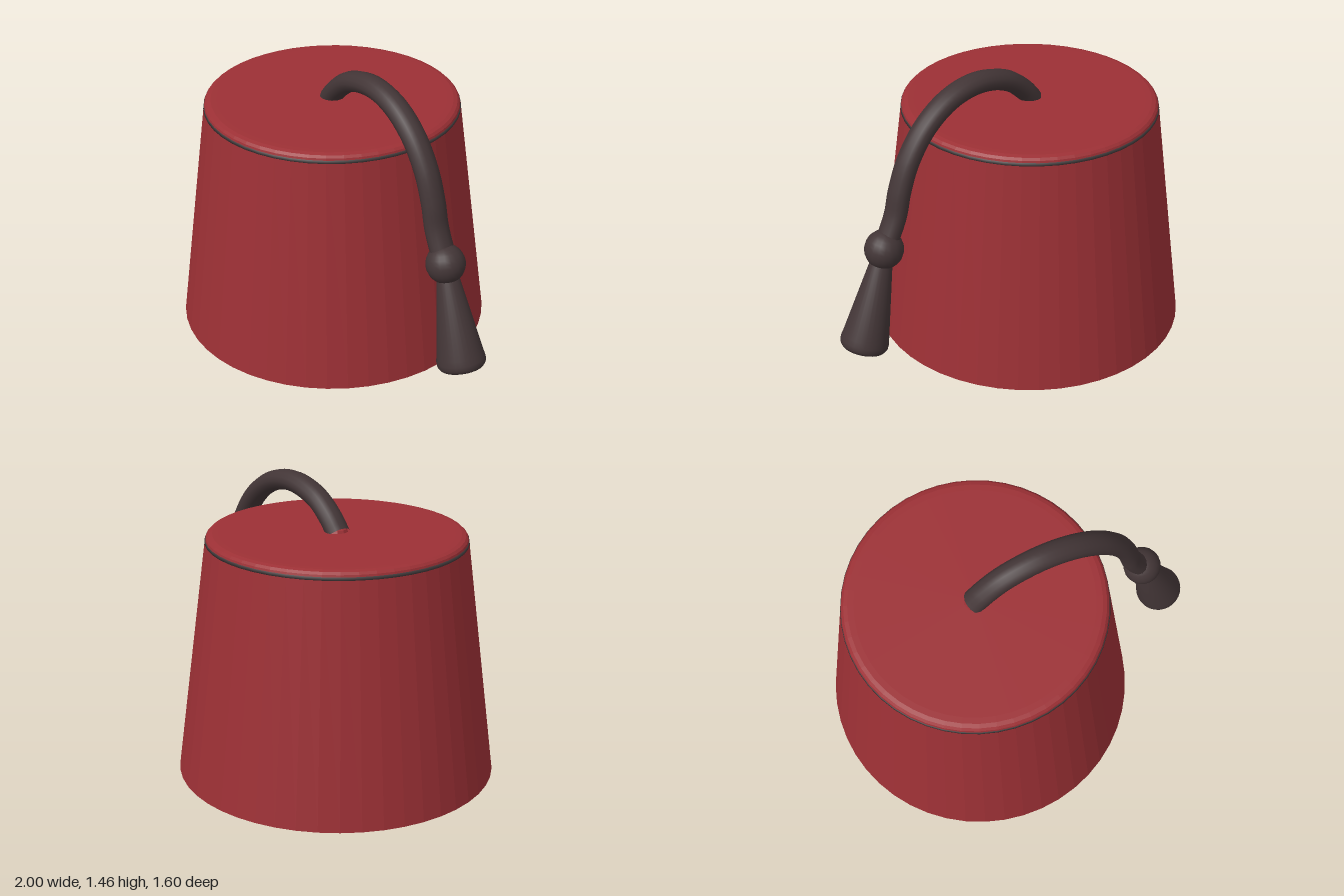
import * as THREE from 'three';

const red = new THREE.MeshStandardMaterial({ color: 0x9c3035, flatShading: true, side: THREE.DoubleSide });
const dark = new THREE.MeshStandardMaterial({ color: 0x423536 });
const bandMat = new THREE.MeshStandardMaterial({ color: 0x423b3c });

const lathe = (points, segments) =>
  new THREE.LatheGeometry(points.map(([r, y]) => new THREE.Vector2(r, y)), segments);

function add(parent, name, geometry, material, x = 0, y = 0) {
  const mesh = new THREE.Mesh(geometry, material);
  mesh.name = name;
  mesh.position.set(x, y, 0);
  parent.add(mesh);
  return mesh;
}

export function createModel() {
  const model = new THREE.Group();
  model.name = 'tasselledHat';

  const hat = new THREE.Group();
  hat.name = 'hat';
  hat.position.x = -0.2;
  model.add(hat);

  // Hollow tapered crown: inner ceiling, inner wall, rim, outer wall
  add(hat, 'crown', lathe([
    [0, 1.17], [0.62, 1.17], [0.767, 0], [0.8, 0], [0.647, 1.19], [0.63, 1.192],
  ], 48), red);

  // Thin dark seam under the lid
  add(hat, 'seamBand', lathe([[0.63, 1.187], [0.648, 1.188], [0.646, 1.203], [0.63, 1.204]], 48), bandMat);

  // Lid with a rounded edge
  add(hat, 'lid', lathe([
    [0.63, 1.2], [0.645, 1.2], [0.641, 1.213], [0.63, 1.224], [0.61, 1.23], [0.58, 1.231], [0, 1.231],
  ], 48), red);

  // Small knob where the cord leaves the lid
  const knob = add(hat, 'cordKnob', new THREE.SphereGeometry(0.058, 10, 6), red, 0.002, 1.228);
  knob.scale.y = 0.55;

  // Cord arching over the edge, slightly wider than it is thick
  const path = new THREE.CatmullRomCurve3([
    [-0.21, 1.22], [-0.15, 1.288], [-0.04, 1.368], [0.14, 1.412], [0.31, 1.382],
    [0.46, 1.285], [0.57, 1.14], [0.63, 0.99], [0.66, 0.87], [0.74, 0.7],
  ].map(([x, y]) => new THREE.Vector3(x, y, 0)));
  const cord = add(model, 'cord', new THREE.TubeGeometry(path, 48, 0.052, 14), dark);
  cord.scale.z = 1.2;

  // Tassel: bead and flared skirt, hanging at a slant
  const tassel = new THREE.Group();
  tassel.name = 'tassel';
  tassel.position.set(0.735, 0.71, 0);
  tassel.rotation.z = 0.29;
  model.add(tassel);
  add(tassel, 'bead', new THREE.SphereGeometry(0.097, 20, 14), dark);
  add(tassel, 'skirt', lathe([
    [0, -0.535], [0.09, -0.535], [0.109, -0.529], [0.12, -0.512], [0.121, -0.49],
    [0.116, -0.465], [0.055, -0.07], [0, -0.04],
  ], 28), dark);

  return model;
}
